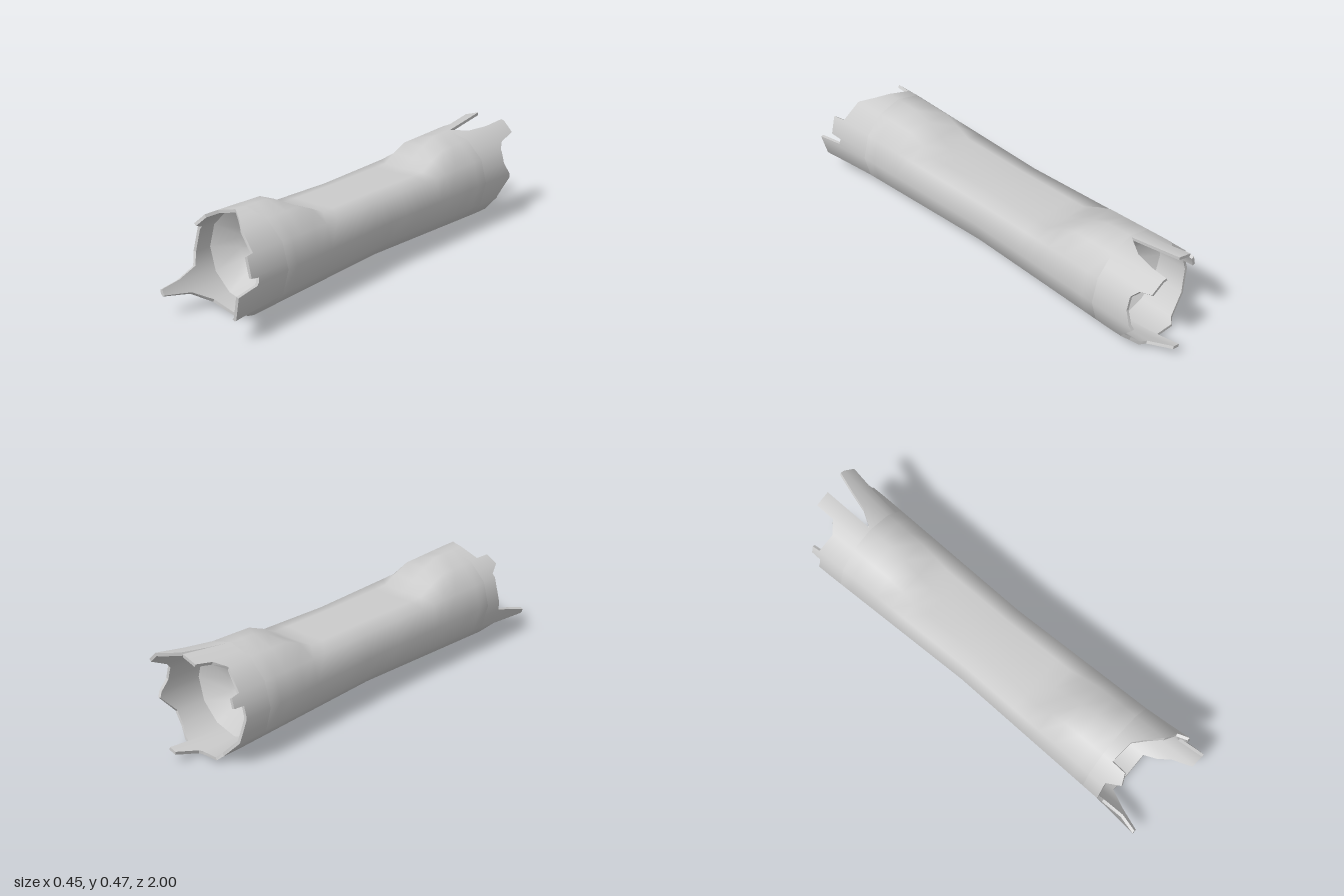
import * as THREE from 'three';

const SIDES = 12, STEP = 360 / SIDES, CX = -0.006, CY = 0.223, WALL = 0.014, JOIN = 0.7;
const rad = THREE.MathUtils.degToRad;

// Torn edges: [angle in degrees, distance from the middle, flare]
const FRONT_EDGE = [
  [-90, 0.79], [-60, 0.79], [-52, 0.85], [-40, 0.9], [-33, 0.99, 1.08], [-5, 1.0, 1.07], [-3, 0.88], [5, 0.87],
  [8, 0.92, 1.06], [30, 0.92, 1.07], [31, 0.87], [58, 0.85], [75, 0.8], [90, 0.76], [119, 0.75], [120, 0.82],
  [135, 0.84], [145, 0.78], [180, 0.78], [195, 0.8], [203, 0.9, 1.0], [206, 0.98, 1.1], [213, 0.98, 1.1],
  [222, 0.87], [240, 0.79],
];
const BACK_EDGE = [
  [-90, 0.87], [-86, 0.88], [-84, 1.0, 0.82], [-72, 1.0, 0.82], [-69, 0.88], [-45, 0.85], [-28, 0.84], [-6, 0.91],
  [15, 0.87], [32, 0.87], [41, 0.9, 1.06], [45, 0.97, 1.2], [64, 0.98, 1.18], [68, 0.89, 1.06], [75, 0.79],
  [89, 0.71], [90, 0.95, 1.14], [107, 0.95, 1.13], [108, 0.86, 1.03], [122, 0.82], [150, 0.84], [152, 0.88],
  [164, 0.88], [165, 0.83], [175, 0.83], [200, 0.84], [240, 0.86], [247, 0.88, 1.06],
];

// Log is slimmer in the middle
const radiusAt = (z) => 0.2 + 0.021 * Math.min(1, Math.abs(z) / 0.78);

// Point on the twelve-sided section
function point(deg, z, scale = 1, inset = 0) {
  const local = (((deg % STEP) + STEP) % STEP) - STEP / 2;
  const r = (radiusAt(z) * scale - inset) * Math.cos(rad(STEP / 2)) / Math.cos(rad(local));
  return new THREE.Vector3(CX + r * Math.cos(rad(deg)), CY + r * Math.sin(rad(deg)), z);
}

// Surface through closed rings of points
function loft(rows, flip) {
  const n = rows[0].length, index = [];
  for (let i = 0; i < rows.length - 1; i++) {
    for (let j = 0; j < n; j++) {
      const a = i * n + j, b = i * n + (j + 1) % n, c = b + n, d = a + n;
      if (flip) index.push(a, d, b, b, d, c);
      else index.push(a, b, d, b, c, d);
    }
  }
  const geometry = new THREE.BufferGeometry().setFromPoints(rows.flat());
  geometry.setIndex(index);
  geometry.computeVertexNormals();
  return geometry;
}

// Round the shading of a torn wall
function radialNormals(geometry, sign) {
  const p = geometry.attributes.position, normal = geometry.attributes.normal;
  for (let i = 0; i < p.count; i++) {
    const v = new THREE.Vector3(p.getX(i) - CX, p.getY(i) - CY, 0).normalize().multiplyScalar(sign);
    normal.setXYZ(i, v.x, v.y, v.z);
  }
  return geometry;
}

// Edge distance and flare at any angle
function edgeAt(edge, deg) {
  const closed = [...edge, [270, edge[0][1], edge[0][2]]];
  const k = Math.max(1, closed.findIndex((e) => e[0] >= deg));
  const [a0, z0, f0 = 1] = closed[k - 1], [a1, z1, f1 = 1] = closed[k];
  const t = (deg - a0) / (a1 - a0);
  return [z0 + (z1 - z0) * t, f0 + (f1 - f0) * t];
}

export function createModel() {
  const group = new THREE.Group();
  const material = new THREE.MeshStandardMaterial({ color: 0xcccccc, side: THREE.DoubleSide });
  const add = (name, geometry, parent) => {
    const mesh = new THREE.Mesh(geometry, material);
    mesh.name = name;
    parent.add(mesh);
  };
  const corners = Array.from({ length: SIDES }, (_, i) => -90 + i * STEP);

  // Trunk with a flattened hollow along the top
  const half = [0.1, 0.2, 0.28, 0.35, 0.42, 0.5, 0.58, 0.64, JOIN];
  const stations = [...half.map((z) => -z).reverse(), 0, ...half];
  add('trunk', loft(stations.map((z) => {
    const ceiling = 0.338 + 0.112 * THREE.MathUtils.clamp((Math.abs(z) - 0.35) / 0.23, 0, 1);
    return corners.map((deg) => {
      const p = point(deg, z);
      p.y = Math.min(p.y, ceiling + 0.04 * Math.abs(p.x - CX));
      return p;
    });
  }), false), group);

  // Splintered ends with inner wall, rim and closed core
  for (const [name, edge, s] of [['front', FRONT_EDGE, 1], ['back', BACK_EDGE, -1]]) {
    const end = new THREE.Group();
    end.name = name + 'End';
    group.add(end);
    const angles = [...new Set([...corners, ...edge.map((e) => e[0])])].sort((a, b) => a - b);
    const wall = (inset) => [0, 0.5, 1].map((t) => angles.map((deg) => {
      const [z, flare] = edgeAt(edge, deg);
      return point(deg, s * (JOIN + (z - JOIN) * t), 1 + (flare - 1) * t ** 1.3, inset);
    }));
    const outer = wall(0), inner = wall(WALL);
    add(name + 'Bark', radialNormals(loft(outer, s < 0), 1), end);
    add(name + 'InnerWall', radialNormals(loft(inner, s > 0), -1), end);
    const rim = loft([outer[2], inner[2]], s < 0).toNonIndexed();
    rim.computeVertexNormals();
    add(name + 'Rim', rim, end);
    const core = [[1, JOIN], [0.5, 0.63], [0.02, 0.57]].map(([k, z]) => corners.map((deg) => {
      const p = point(deg, s * JOIN, 1, WALL);
      return new THREE.Vector3(CX + (p.x - CX) * k, CY + (p.y - CY) * k, s * z);
    }));
    add(name + 'Core', loft(core, s < 0), end);
  }
  return group;
}
